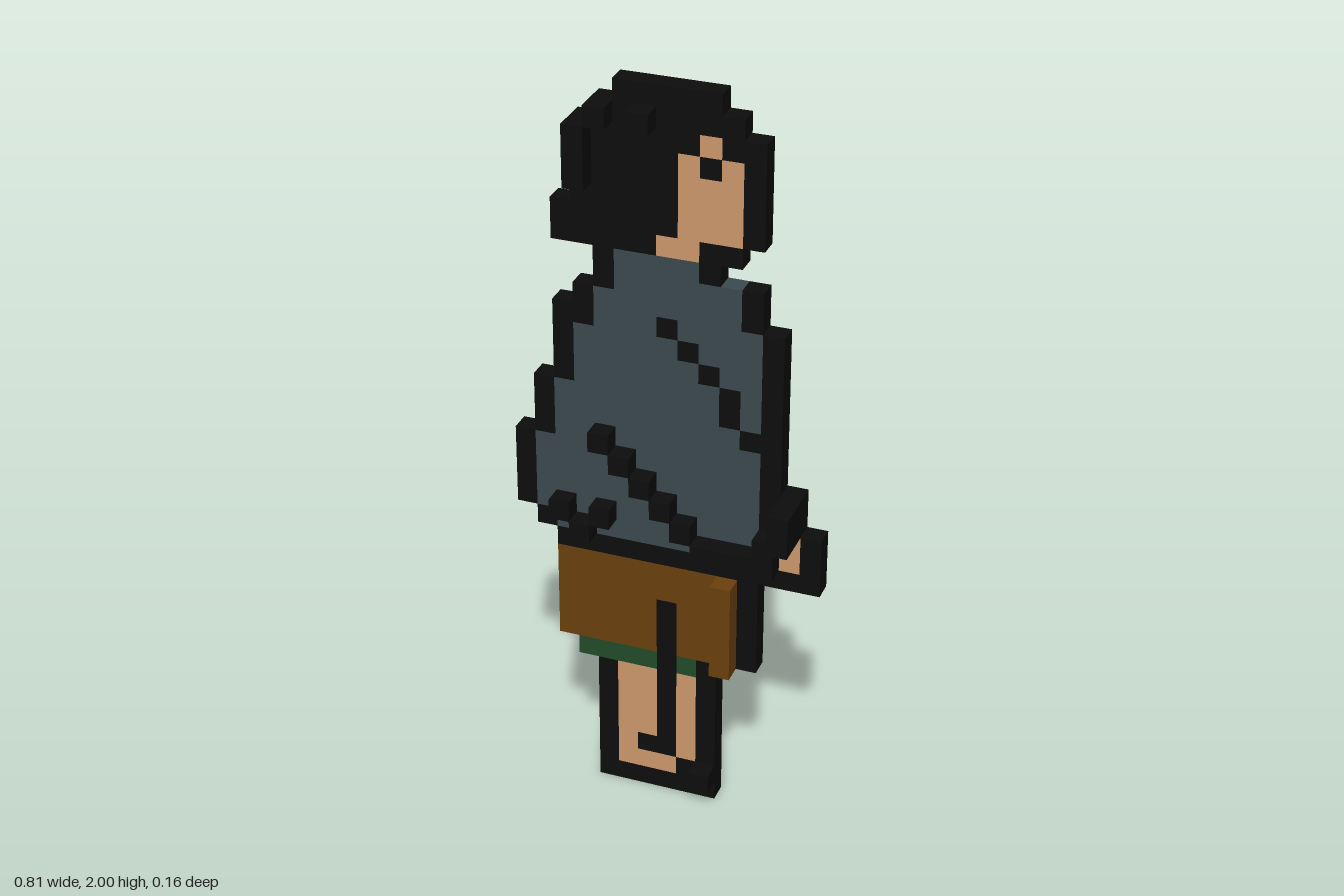
import * as THREE from 'three';
import { mergeGeometries } from 'three/addons/utils/BufferGeometryUtils.js';

const ROWS = 37, COLS = 15, S = 2 / ROWS;

const colour = (name, hex) => {
  const m = new THREE.MeshStandardMaterial({ color: hex });
  m.name = name;
  return m;
};

// The six face directions of a cube, with the turn that aims a plane that way
const FACES = [
  [[0, 0, 1], 0, 0], [[0, 0, -1], 0, Math.PI],
  [[1, 0, 0], 0, Math.PI / 2], [[-1, 0, 0], 0, -Math.PI / 2],
  [[0, 1, 0], -Math.PI / 2, 0], [[0, -1, 0], Math.PI / 2, 0],
];

export function createModel() {
  const black = colour('black', 0x0d0d0d), skin = colour('skin', 0xcd996b);
  const slate = colour('slate', 0x3c4a50), brown = colour('brown', 0x6b400e);
  const green = colour('green', 0x224b2a), olive = colour('olive', 0x6e640e);

  const cells = new Map();
  const parts = {};
  const key = (c, r, z) => `${c},${r},${z}`;

  // Paint blocks [firstColumn, topRow, lastColumn, bottomRow]; layer 0 is the back
  const paint = (name, material, layer, blocks) => {
    parts[name] = material;
    for (const [c0, r0, c1 = c0, r1 = r0] of blocks)
      for (let c = c0; c <= c1; c++)
        for (let r = r0; r <= r1; r++) cells.set(key(c, r, layer), { name, c, r, z: layer });
  };

  // Head
  paint('hair', black, 0, [[5, 0, 9, 0], [4, 1, 10, 1], [3, 2, 11, 5], [2, 6, 11, 6], [2, 7, 10, 7]]);
  paint('face', skin, 0, [[9, 2], [8, 3, 10, 6], [7, 7, 8, 7]]);
  paint('eye', black, 0, [[9, 3]]);
  paint('hairLocks', black, 1, [[3, 2, 3, 4], [4, 1], [6, 1]]);

  // Shawl outline, then its cloth
  paint('shawlEdge', black, 0, [
    [4, 8, 9, 8], [4, 9, 11, 9], [3, 10, 11, 10], [2, 11, 12, 14],
    [1, 15, 12, 17], [0, 18, 12, 21], [1, 22, 12, 22], [2, 23, 14, 23],
  ]);
  paint('shawl', slate, 0, [
    [5, 8, 8, 8], [5, 9, 10, 9], [4, 10, 10, 10], [4, 11, 11, 11],
    [3, 12, 11, 14], [2, 15, 11, 17], [1, 18, 11, 21], [2, 22, 11, 22],
  ]);
  paint('shawlFold', black, 0, [[7, 11], [8, 12], [9, 13], [10, 14, 10, 15], [11, 16]]);

  // Trim: olive at the back, dark raised studs at the front
  const trim = [[2, 21], [3, 22], [4, 21], [9, 22, 11, 22]];
  for (let i = 0; i < 5; i++) trim.push([4 + i, 17 + i]);
  paint('backTrim', olive, 0, trim);
  paint('frontTrim', black, 1, [...trim, [12, 21, 12, 22]]);

  // Arm and hand
  paint('arm', black, 0, [[13, 19, 13, 20], [14, 21, 14, 22]]);
  paint('hand', skin, 0, [[13, 21, 13, 22]]);
  paint('cuff', black, 1, [[13, 19, 13, 20]]);
  paint('cuff', black, 2, [[13, 19, 13, 20]]);

  // Skirt
  paint('skirt', brown, 0, [[2, 24, 9, 28]]);
  paint('skirtShade', black, 0, [[10, 24, 11, 28]]);
  paint('skirtPanel', brown, 1, [[10, 24, 10, 28]]);
  paint('underskirt', green, 0, [[3, 29, 8, 29]]);

  // Legs
  paint('legOutline', black, 0, [[9, 29], [4, 30, 9, 36]]);
  paint('legs', skin, 0, [[5, 30, 8, 34], [5, 35, 7, 35]]);
  paint('legGap', black, 0, [[7, 26, 7, 34], [6, 34]]);
  paint('toe', black, 1, [[9, 35]]);

  // Turn the exposed cube faces of every part into one mesh
  const group = new THREE.Group();
  group.name = 'figure';
  const geos = {};
  for (const { name, c, r, z } of cells.values()) {
    for (const [[dx, dy, dz], rx, ry] of FACES) {
      if (cells.has(key(c + dx, r - dy, z + dz))) continue;
      const g = new THREE.PlaneGeometry(S, S).rotateX(rx).rotateY(ry);
      g.translate(
        (c - (COLS - 1) / 2 + dx / 2) * S,
        (ROWS - r - 0.5 + dy / 2) * S,
        (z - 1 + dz / 2) * S,
      );
      (geos[name] ??= []).push(g);
    }
  }
  for (const [name, list] of Object.entries(geos)) {
    const mesh = new THREE.Mesh(mergeGeometries(list), parts[name]);
    mesh.name = name;
    group.add(mesh);
  }
  return group;
}
